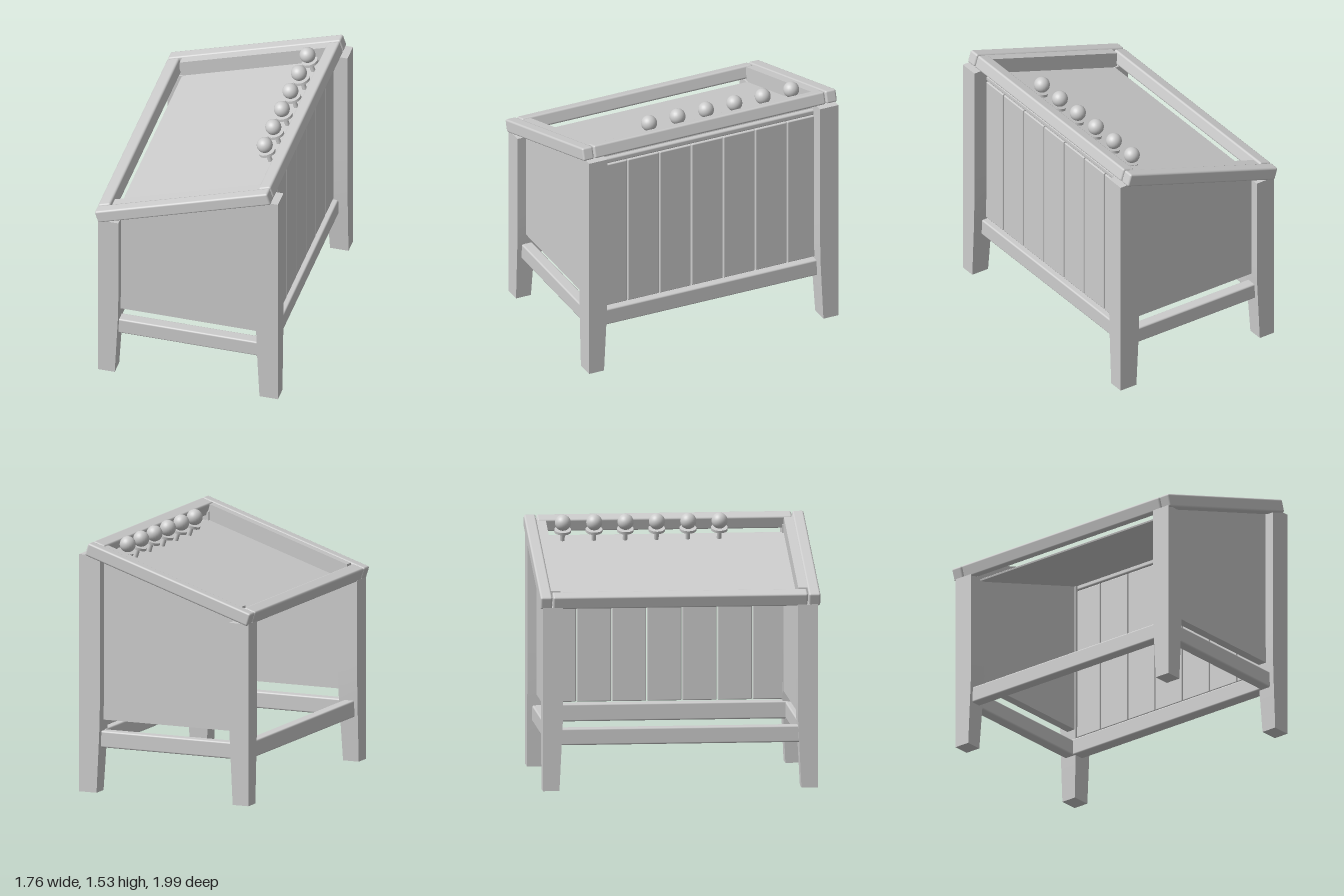
import * as THREE from 'three';
import { RoundedBoxGeometry } from 'three/addons/geometries/RoundedBoxGeometry.js';

export function createModel() {
  const model = new THREE.Group();
  model.name = 'slopedConsoleTable';
  const grey = new THREE.MeshStandardMaterial({ color: 0xcccccc });
  grey.name = 'light grey';

  const add = (parent, name, geometry) => {
    const mesh = new THREE.Mesh(geometry, grey);
    mesh.name = name;
    parent.add(mesh);
    return mesh;
  };
  // Soft-edged bar given by its min and max along each axis
  const bar = (parent, name, [x0, x1], [y0, y1], [z0, z1], radius = 0.01) => {
    const geometry = new RoundedBoxGeometry(x1 - x0, y1 - y0, z1 - z0, 2, radius);
    return add(parent, name, geometry.translate((x0 + x1) / 2, (y0 + y1) / 2, (z0 + z1) / 2));
  };

  // The body stands turned on the floor: local +x is the high side
  const body = new THREE.Group();
  body.name = 'body';
  body.rotation.y = -0.485;
  body.position.set(-0.016, 0, -0.012);
  model.add(body);

  // Leg with upright outer faces; the inner faces taper towards the foot
  const leg = (name, xOut, xIn, top, side) => {
    const geometry = new THREE.BoxGeometry(1, top, 1, 1, 8, 1).translate(0, top / 2, 0);
    const p = geometry.attributes.position;
    const inward = Math.sign(xIn - xOut);
    for (let i = 0; i < p.count; i++) {
      const y = p.getY(i);
      const slim = 0.022 * Math.max(0, 1 - y / 0.45);
      const outerX = p.getX(i) * inward < 0;
      const outerZ = p.getZ(i) * side > 0;
      p.setX(i, outerX ? xOut : xIn - inward * slim);
      p.setZ(i, side * (outerZ ? 0.82 : 0.7 + slim));
    }
    geometry.computeVertexNormals();
    add(body, name, geometry);
  };

  // End panel with a sloping top edge
  const endShape = new THREE.Shape([
    new THREE.Vector2(-0.45, 0.435), new THREE.Vector2(0.48, 0.435),
    new THREE.Vector2(0.48, 1.49), new THREE.Vector2(-0.45, 1.19),
  ]);

  for (const side of [-1, 1]) {
    leg('highLeg', 0.588, 0.452, 1.435, side);
    leg('lowLeg', -0.522, -0.397, 1.1, side);
    const z = (a, b) => (side > 0 ? [a, b] : [-b, -a]);
    bar(body, 'endStretcher', [-0.44, 0.5], [0.27, 0.37], z(0.72, 0.79));
    const panel = new THREE.ExtrudeGeometry(endShape, { depth: 0.055, bevelEnabled: false });
    add(body, 'endPanel', panel.translate(0, 0, side > 0 ? 0.71 : -0.765));
  }

  // Long stretchers and the strip above the planks
  bar(body, 'highStretcher', [0.45, 0.53], [0.27, 0.375], [-0.74, 0.74]);
  bar(body, 'lowStretcher', [-0.5, -0.43], [0.27, 0.37], [-0.74, 0.74]);
  bar(body, 'plankStrip', [0.468, 0.5], [1.35, 1.385], [-0.72, 0.72]);

  // Upright planks on the high side
  for (let i = -3; i <= 3; i++) {
    bar(body, 'plank', [0.47, 0.502], [0.385, 1.345], [i * 0.21 - 0.102, i * 0.21 + 0.102], 0.006);
  }

  // Tilted top: the frame's upper surface lies at y = 0 of this group
  const top = new THREE.Group();
  top.name = 'slopedTop';
  top.position.set(-0.01, 1.337, 0);
  top.rotation.z = 0.313;
  body.add(top);
  for (const side of [-1, 1]) {
    const inner = side * 0.765, outer = side * 0.835;
    bar(top, 'sideRail', [-0.56, 0.56], [-0.08, 0], [Math.min(inner, outer), Math.max(inner, outer)], 0.012);
    bar(top, side > 0 ? 'highRail' : 'lowRail',
      side > 0 ? [0.48, 0.56] : [-0.56, -0.48], [-0.08, 0], [-0.76, 0.76], 0.012);
  }
  bar(top, 'topPanel', [-0.48, 0.47], [-0.11, -0.098], [-0.712, 0.712], 0.002);

  // Row of ball knobs
  for (let i = 0; i < 6; i++) {
    const knob = new THREE.Group();
    knob.name = 'knob';
    knob.position.set(0.4, 0, -0.616 + i * 0.187);
    top.add(knob);
    add(knob, 'ball', new THREE.SphereGeometry(0.048, 24, 16)).position.y = 0.018;
    add(knob, 'collar', new THREE.CylinderGeometry(0.05, 0.05, 0.016, 24)).position.y = -0.034;
    add(knob, 'stem', new THREE.CylinderGeometry(0.014, 0.014, 0.07, 12)).position.y = -0.067;
  }
  return model;
}
